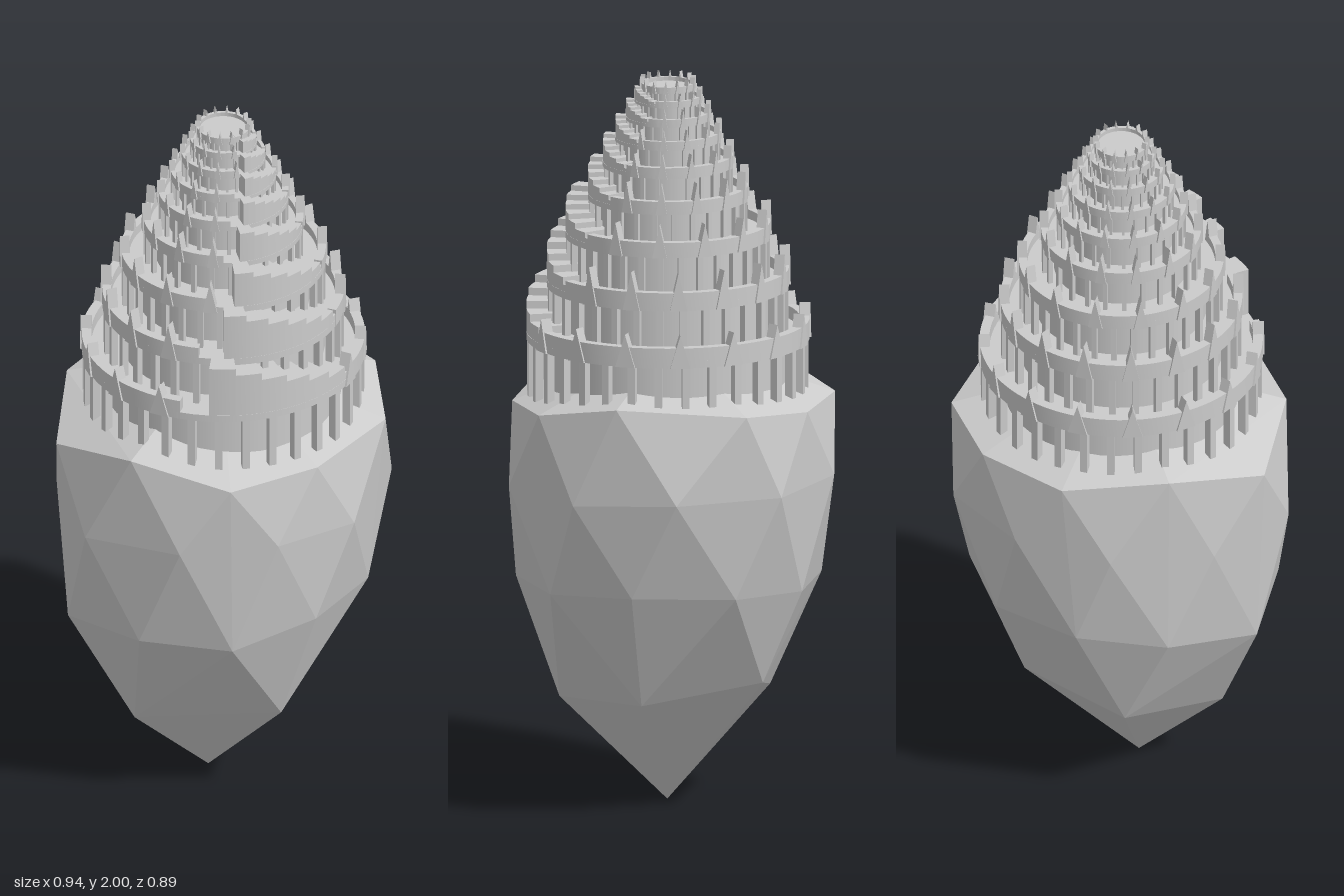
import * as THREE from 'three';
import { ConvexGeometry } from 'three/addons/geometries/ConvexGeometry.js';
import { toCreasedNormals } from 'three/addons/utils/BufferGeometryUtils.js';

const material = new THREE.MeshStandardMaterial({ color: 0xcccccc });
const rockMaterial = new THREE.MeshStandardMaterial({ color: 0xcccccc, flatShading: true });
const rad = THREE.MathUtils.degToRad;

function add(parent, name, geometry, y = 0, mat = material) {
  const mesh = new THREE.Mesh(geometry, mat);
  mesh.name = name;
  mesh.position.y = y;
  parent.add(mesh);
  return mesh;
}

// Solid ring sector; angles in degrees, 0 at the front, growing towards +x
function sector(inner, outer, from, to, height) {
  const a = rad(from - 90), b = rad(to - 90);
  const shape = new THREE.Shape();
  shape.absarc(0, 0, outer, a, b, false);
  shape.absarc(0, 0, inner, b, a, true);
  const curveSegments = Math.max(3, Math.ceil((to - from) / 7));
  const geometry = new THREE.ExtrudeGeometry(shape, { depth: height, bevelEnabled: false, curveSegments });
  geometry.rotateX(-Math.PI / 2);
  return toCreasedNormals(geometry, 0.5);
}

// Pointed merlon, a triangular prism facing outwards
function spike(width, height, depth) {
  const shape = new THREE.Shape();
  shape.moveTo(-width / 2, 0);
  shape.lineTo(width / 2, 0);
  shape.lineTo(0, height);
  return new THREE.ExtrudeGeometry(shape, { depth, bevelEnabled: false });
}

function placeAround(mesh, angle, radius) {
  mesh.rotation.y = rad(angle);
  mesh.position.x = Math.sin(rad(angle)) * radius;
  mesh.position.z = Math.cos(rad(angle)) * radius;
}

// Faceted boulder from rings of x, y, z corners
function createRock() {
  const tip = [[-0.04, 0, 0.02], [0, 1.28, 0]];
  const low = [[0.04, 0.29, 0.3], [0.26, 0.32, 0.04], [0.14, 0.37, -0.27], [-0.16, 0.3, -0.24], [-0.28, 0.23, 0.06]];
  const middle = [
    [-0.44, 0.55, -0.02], [-0.31, 0.6, -0.26], [-0.1, 0.63, -0.39], [0.16, 0.63, -0.38], [0.34, 0.64, -0.23],
    [0.42, 0.65, 0.04], [0.31, 0.63, 0.28], [0.09, 0.63, 0.41], [-0.15, 0.58, 0.39], [-0.35, 0.58, 0.23]];
  const wide = [
    [-0.455, 0.87, 0.115], [-0.29, 0.9, 0.355], [-0.04, 0.91, 0.445], [0.205, 0.9, 0.41], [0.42, 0.9, 0.2],
    [0.47, 0.92, -0.09], [0.315, 0.92, -0.35], [0.055, 0.93, -0.45], [-0.2, 0.9, -0.375], [-0.4, 0.88, -0.17]];
  const rim = [
    [-0.47, 1.09, -0.03], [-0.32, 1.15, -0.27], [-0.08, 1.13, -0.43], [0.19, 1.13, -0.4], [0.375, 1.15, -0.265],
    [0.43, 1.17, 0.08], [0.35, 1.13, 0.305], [0.09, 1.11, 0.42], [-0.17, 1.1, 0.42], [-0.375, 1.15, 0.23]];
  const points = [tip, low, middle, wide, rim].flat().map((p) => new THREE.Vector3(...p));
  return new ConvexGeometry(points);
}

// Each tier: outer radius, floor height, parapet height, merlon top
const tiers = [
  [0.38, 1.28, 0.055, 1.37],
  [0.325, 1.425, 0.05, 1.53],
  [0.275, 1.56, 0.042, 1.65],
  [0.215, 1.665, 0.036, 1.75],
  [0.175, 1.755, 0.03, 1.82],
  [0.142, 1.825, 0.025, 1.88],
  [0.113, 1.882, 0.022, 1.93],
  [0.09, 1.93, 0.018, 1.968],
  [0.072, 1.965, 0.018, 2.0],
];

function createTier(index) {
  const [radius, y, parapet, top] = tiers[index];
  const next = tiers[index + 1];
  const group = new THREE.Group();
  group.name = 'tier' + (index + 1);
  const slab = Math.min(0.02, parapet * 0.4);
  const bottom = index ? tiers[index - 1][1] : 1.13;
  const scale = Math.max(0.25, radius / 0.38);
  const thick = 0.026 * Math.sqrt(scale) * (index > 4 ? 0.7 : 1);

  // Inner wall, floor and colonnade
  const height = y - bottom;
  add(group, 'innerWall', new THREE.CylinderGeometry(radius * 0.84, radius * 0.84, height, 48, 1), bottom + height / 2);
  add(group, 'floor', new THREE.CylinderGeometry(radius, radius, slab, 56), y + slab / 2);
  const columns = index < 3 ? 32 : 26;
  const columnGeometry = new THREE.BoxGeometry(0.02 * scale, height, 0.022 * scale);
  for (let i = 0; i < columns; i++) {
    const column = add(group, 'column', columnGeometry, bottom + height / 2);
    placeAround(column, (i + 0.5) * 360 / columns, radius - 0.013 * scale);
  }

  // Parapet, open at the front where the stair passes
  const shift = index * 6;
  const gapStart = next ? -44 + shift : 0;
  const gapEnd = next ? 36 + shift : 0;
  add(group, 'parapet', sector(radius - thick, radius, gapEnd, gapStart + 359.9, parapet), y);

  // Pointed merlons along the parapet
  const merlons = index < 2 ? 16 : 14;
  const merlonGeometry = spike(0.055 * scale, top - y, thick + 0.004);
  for (let i = 0; i < merlons; i++) {
    const angle = 172 + i * 360 / merlons;
    const fromGap = (angle - gapEnd + 720) % 360;
    if (next && fromGap > 360 - (gapEnd - gapStart)) continue;
    placeAround(add(group, 'merlon', merlonGeometry, y), angle, radius - thick);
  }

  // Curved stair up to the next tier, highest at the model's right
  if (next) {
    const steps = 7, start = -32 + shift, span = 76 / steps;
    const rise = next[1] + Math.min(0.02, next[2] * 0.4) - y;
    for (let i = 0; i < steps; i++) {
      const stepHeight = rise * (1 - i / (steps + 1));
      add(group, 'stairStep', sector(next[0] - 0.03 * scale, radius - 0.001, start + i * span, start + (i + 1) * span, stepHeight), y);
    }
  }
  return group;
}

export function createModel() {
  const model = new THREE.Group();
  model.name = 'towerOnRock';
  add(model, 'rock', createRock(), 0, rockMaterial);
  const tower = new THREE.Group();
  tower.name = 'tower';
  tower.position.set(0.01, 0, 0.01);
  tiers.forEach((_, i) => tower.add(createTier(i)));
  model.add(tower);
  return model;
}
